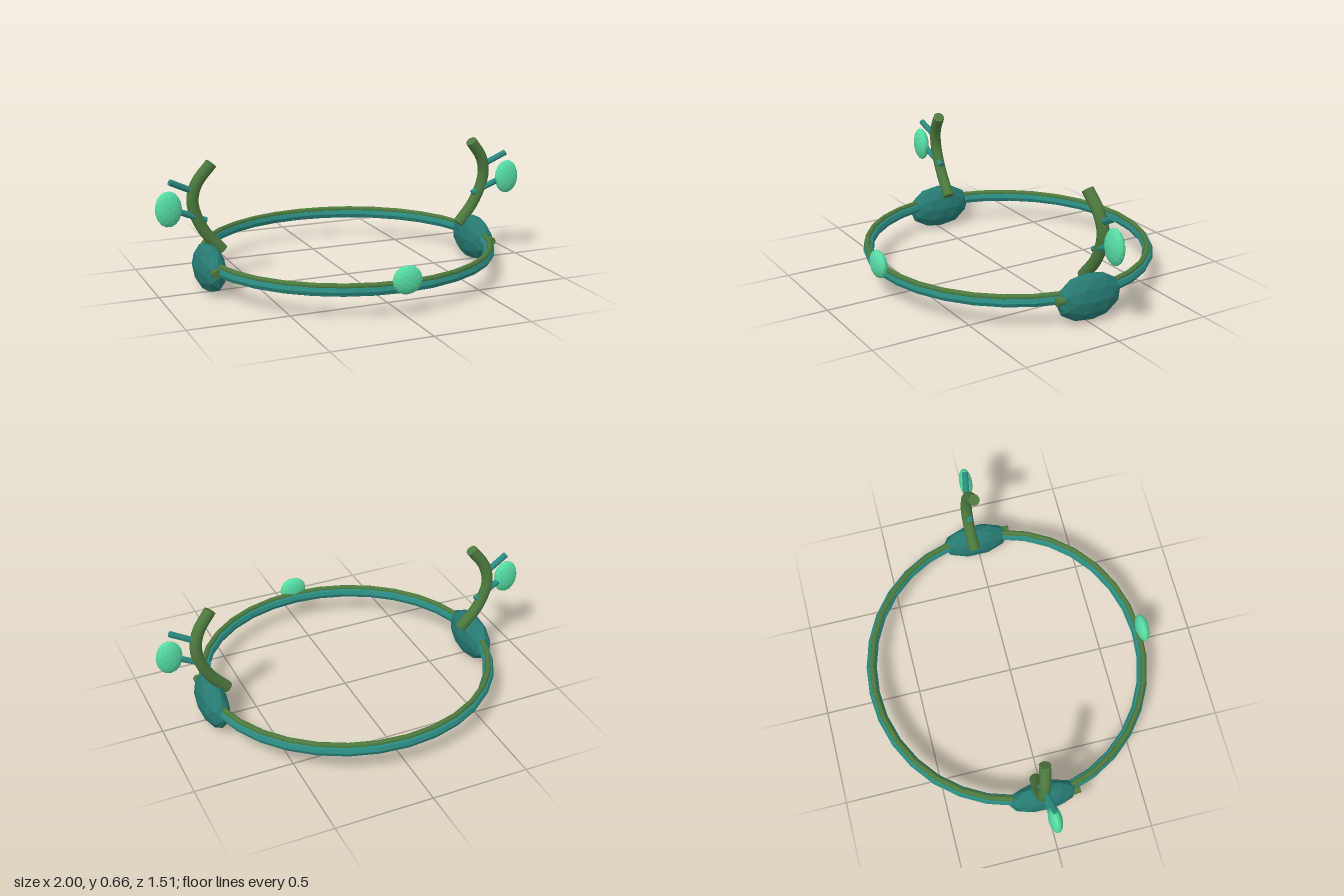
import * as THREE from 'three';

const teal = new THREE.MeshStandardMaterial({ color: 0x2a8a80, flatShading: true });
const darkTeal = new THREE.MeshStandardMaterial({ color: 0x267a72, flatShading: true });
const green = new THREE.MeshStandardMaterial({ color: 0x4d7a3e });
const mint = new THREE.MeshStandardMaterial({ color: 0x55dba2, flatShading: true });

export function createModel() {
  const model = new THREE.Group();
  const V = (x, y, z) => new THREE.Vector3(x, y, z);

  const add = (name, geometry, material, parent = model) => {
    const mesh = new THREE.Mesh(geometry, material);
    mesh.name = name;
    parent.add(mesh);
    return mesh;
  };

  // faceted ellipsoid
  const pebble = (name, pos, radii, detail, material, parent) => {
    const mesh = add(name, new THREE.IcosahedronGeometry(1, detail), material, parent);
    mesh.position.copy(pos);
    mesh.scale.copy(radii);
  };

  // slightly oval horizontal ring
  const hoop = (name, radius, tube, y, z, material) => {
    const g = new THREE.TorusGeometry(radius, tube, 8, 32);
    g.rotateX(Math.PI / 2).scale(1.045, 1, 1).translate(0, y, z);
    add(name, g, material);
  };

  // straight rod between two points
  const rod = (name, a, b, r, material, parent) => {
    const dir = b.clone().sub(a);
    const mesh = add(name, new THREE.CylinderGeometry(r, r, dir.length(), 8), material, parent);
    mesh.position.copy(a).add(b).multiplyScalar(0.5);
    mesh.quaternion.setFromUnitVectors(V(0, 1, 0), dir.normalize());
  };

  // headband with a thin vine lying on it
  hoop('band', 0.712, 0.027, 0.141, -0.018, teal);
  hoop('vine', 0.713, 0.014, 0.167, -0.012, green);
  pebble('frontGem', V(0, 0.185, 0.72), V(0.075, 0.071, 0.034), 2, mint);

  for (const s of [1, -1]) {
    const side = new THREE.Group();
    side.name = s > 0 ? 'leftSide' : 'rightSide';
    model.add(side);

    // ear knot on the band, with a vine end poking out
    pebble('knot', V(s * 0.738, 0.124, -0.013), V(0.073, 0.12, 0.183), 1, darkTeal, side);
    rod('vineEnd', V(s * 0.755, 0.142, 0.12), V(s * 0.75, 0.142, 0.178), 0.022, green, side);

    // curved horn, closed at both ends
    const path = new THREE.CatmullRomCurve3([
      [0.66, 0.2, -0.035], [0.755, 0.315, -0.041], [0.805, 0.45, -0.038],
      [0.787, 0.55, -0.026], [0.713, 0.65, -0.01],
    ].map(([x, y, z]) => V(s * x, y, z)));
    add('horn', new THREE.TubeGeometry(path, 16, 0.03, 10), green, side);
    for (const t of [0, 1]) {
      const cap = add('hornEnd', new THREE.CircleGeometry(0.03, 10), green, side);
      cap.position.copy(path.getPoint(t));
      const out = path.getTangent(t).multiplyScalar(t ? 1 : -1);
      cap.quaternion.setFromUnitVectors(V(0, 0, 1), out);
    }

    // twigs and the leaf gem
    rod('lowerTwig', V(s * 0.74, 0.36, -0.035), V(s * 0.9, 0.43, -0.015), 0.016, teal, side);
    rod('upperTwig', V(s * 0.79, 0.507, -0.035), V(s * 0.923, 0.573, -0.012), 0.016, teal, side);
    pebble('leafGem', V(s * 0.933, 0.44, -0.01), V(0.067, 0.09, 0.034), 2, mint, side);
  }

  return model;
}
